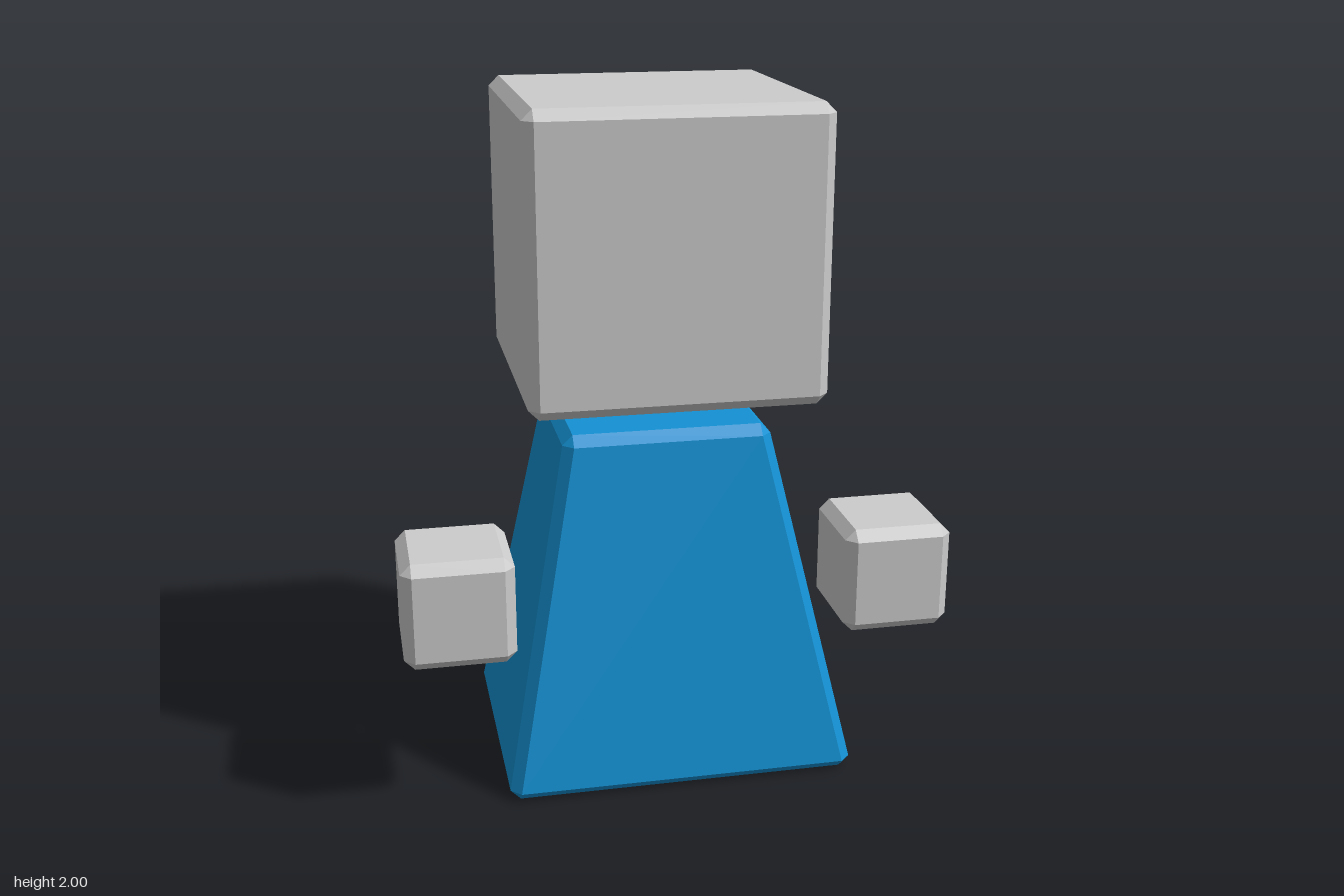
import * as THREE from 'three';
import { ConvexGeometry } from 'three/addons/geometries/ConvexGeometry.js';

const BEVEL = 0.03;

// Chamfered block between two rectangles, each given as [x0, x1, z0, z1].
function chamferedBlock(bottom, top, y0, y1) {
  const points = [];
  for (const [rect, y, sy] of [[bottom, y0, 1], [top, y1, -1]]) {
    for (const [x, sx] of [[rect[0], 1], [rect[1], -1]]) {
      for (const [z, sz] of [[rect[2], 1], [rect[3], -1]]) {
        const xi = x + sx * BEVEL, yi = y + sy * BEVEL, zi = z + sz * BEVEL;
        points.push(
          new THREE.Vector3(x, yi, zi),
          new THREE.Vector3(xi, y, zi),
          new THREE.Vector3(xi, yi, z)
        );
      }
    }
  }
  return new ConvexGeometry(points);
}

export function createModel() {
  const group = new THREE.Group();
  const grey = new THREE.MeshStandardMaterial({ color: 0xcccccc, flatShading: true });
  const blue = new THREE.MeshStandardMaterial({ color: 0x1492d4, flatShading: true });

  function add(name, material, bottom, top, y0, y1) {
    const mesh = new THREE.Mesh(chamferedBlock(bottom, top, y0, y1), material);
    mesh.name = name;
    group.add(mesh);
  }

  // Tapered body
  add('body', blue, [-0.5, 0.53, -0.445, 0.38], [-0.307, 0.304, -0.273, 0.224], 0, 1.06);

  // Cube head floating above the body
  const head = [-0.422, 0.418, -0.445, 0.393];
  add('head', grey, head, head, 1.165, 2);

  // Floating cube hands
  for (const [name, x] of [['leftHand', 0.628], ['rightHand', -0.632]]) {
    const hand = [x - 0.157, x + 0.157, 0.131, 0.445];
    add(name, grey, hand, hand, 0.481, 0.796);
  }

  return group;
}
